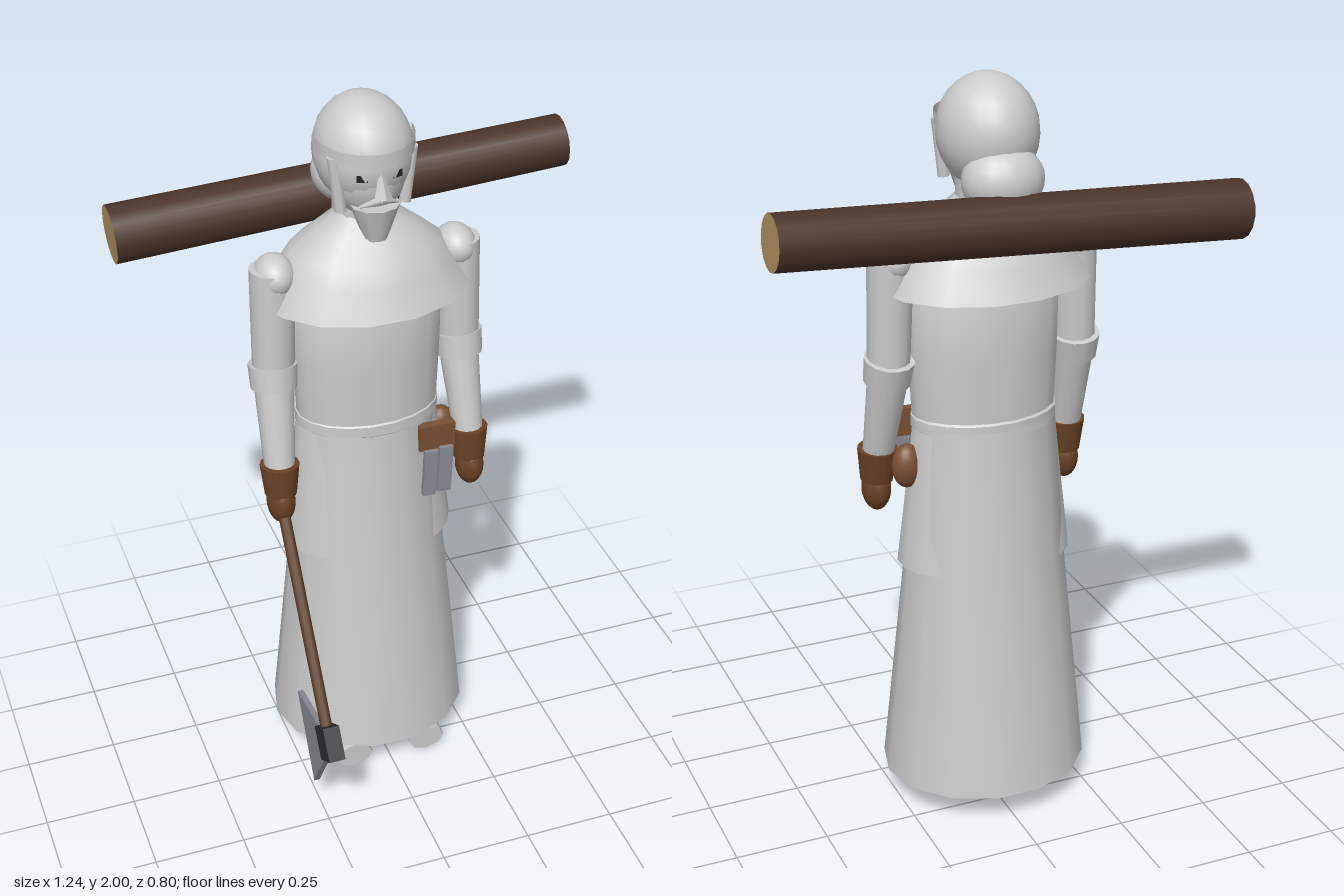
import * as THREE from 'three';
import { toCreasedNormals } from 'three/addons/utils/BufferGeometryUtils.js';

const mat = (name, color, side = THREE.FrontSide) => {
  const m = new THREE.MeshStandardMaterial({ color, side });
  m.name = name;
  return m;
};
const V = (x, y, z) => new THREE.Vector3(x, y, z);

export function createModel() {
  const cloth = mat('pale cloth', 0xcccccc, THREE.DoubleSide);
  const leather = mat('leather', 0x6b4226);
  const pouchBrown = mat('pouch brown', 0x7a4f33);
  const haftWood = mat('haft wood', 0x5e3d26);
  const bark = mat('bark', 0x4a342b);
  const cutWood = mat('cut wood', 0xb0915f);
  const iron = mat('dark iron', 0x2d2d33);
  const steel = mat('steel', 0x8a8a93);
  const eyeDark = mat('eye dark', 0x222222);

  const root = new THREE.Group();
  root.name = 'woodcutter';
  const add = (name, geo, material, parent = root) => {
    const m = new THREE.Mesh(geo, material);
    m.name = name;
    parent.add(m);
    return m;
  };
  const crease = (g) => toCreasedNormals(g, 0.7);

  // Elliptical garment: profile of [half width, y], bottom to top
  const garment = (name, profile, depth, z, sides = 14) => {
    const pts = profile.map(([r, y]) => new THREE.Vector2(r, y));
    const g = new THREE.LatheGeometry(pts, sides, Math.PI / sides);
    g.scale(1, 1, depth).translate(0, 0, z);
    return add(name, crease(g), cloth);
  };
  // Tapered cylinder from a to b
  const limb = (name, a, b, ra, rb, material, sides = 12, parent = root) => {
    const d = b.clone().sub(a);
    const g = new THREE.CylinderGeometry(rb, ra, d.length(), sides);
    const m = add(name, g, material, parent);
    m.position.copy(a).addScaledVector(d, 0.5);
    m.quaternion.setFromUnitVectors(V(0, 1, 0), d.normalize());
    return m;
  };
  const ball = (name, p, r, material, parent = root) => {
    const g = new THREE.SphereGeometry(1, 20, 14);
    g.scale(...r).translate(...p);
    return add(name, g, material, parent);
  };
  const box = (name, size, p, material, parent = root) => {
    const m = add(name, new THREE.BoxGeometry(...size), material, parent);
    m.position.set(...p);
    return m;
  };

  // Robe, coat and cape
  garment('skirt', [[0, 0.09], [0.28, 0.09], [0.215, 0.72], [0.185, 1.1]], 0.89, -0.14);
  garment('coat', [[0.238, 0.71], [0.215, 0.9], [0.193, 1.1]], 0.7, -0.135, 20);
  garment('torso', [[0.192, 1.08], [0.2, 1.28], [0.203, 1.5], [0.15, 1.6], [0, 1.62]], 0.67, -0.13, 20);
  garment('belt', [[0.19, 1.085], [0.197, 1.09], [0.197, 1.12], [0.19, 1.125]], 0.69, -0.132, 20);
  garment('cape', [[0.28, 1.47], [0.235, 1.545], [0.2, 1.6], [0.13, 1.655], [0.075, 1.7], [0.06, 1.74]], 0.755, -0.137);

  // Head and hood
  const head = new THREE.Group();
  head.name = 'head';
  root.add(head);
  ball('coif', [0, 1.855, -0.15], [0.127, 0.145, 0.143], cloth, head);
  ball('face', [0, 1.82, -0.12], [0.1, 0.13, 0.105], cloth, head);
  limb('neck', V(0, 1.62, -0.15), V(0, 1.76, -0.15), 0.08, 0.08, cloth, 14, head);
  ball('loweredHood', [0, 1.755, -0.245], [0.105, 0.09, 0.088], cloth, head);
  const band = new THREE.CylinderGeometry(0.127, 0.127, 0.035, 20, 1, true, -Math.PI / 2, Math.PI);
  band.scale(1, 1, 1.16).translate(0, 1.887, -0.145);
  add('browBand', band, cloth, head);
  // Four-sided nose, widest and furthest forward near its foot
  const nose = new THREE.ConeGeometry(0.024, 0.085, 4).toNonIndexed();
  nose.rotateX(-0.3).translate(0, 1.825, -0.008);
  nose.computeVertexNormals();
  add('nose', nose, cloth, head);
  for (const s of [-1, 1]) {
    const eye = box('eye', [0.028, 0.018, 0.008], [s * 0.045, 1.835, -0.024], eyeDark, head);
    eye.rotation.y = s * 0.35;
    limb('moustache', V(0, 1.773, -0.016), V(s * 0.05, 1.755, -0.03), 0.012, 0.004, cloth, 6, head);
    limb('coifEdge', V(s * 0.103, 1.88, -0.075), V(s * 0.085, 1.73, -0.075), 0.016, 0.016, cloth, 8, head);
  }
  limb('beard', V(0, 1.65, -0.055), V(0, 1.745, -0.06), 0.03, 0.065, cloth, 10, head);

  // Arms and gloves
  for (const s of [-1, 1]) {
    const arm = new THREE.Group();
    arm.name = s > 0 ? 'leftArm' : 'rightArm';
    root.add(arm);
    const elbow = V(s * 0.258, 1.25, -0.125);
    const wrist = V(s * 0.268, 0.99, -0.06);
    ball('shoulder', [s * 0.245, 1.55, -0.13], [0.053, 0.055, 0.066], cloth, arm);
    limb('upperArm', elbow, V(s * 0.25, 1.57, -0.13), 0.055, 0.06, cloth, 14, arm);
    limb('forearm', wrist, elbow, 0.04, 0.054, cloth, 14, arm);
    limb('elbowCuff', V(s * 0.26, 1.225, -0.118), V(s * 0.257, 1.29, -0.132), 0.061, 0.066, cloth, 14, arm);
    limb('gauntlet', V(s * 0.269, 0.93, -0.055), V(s * 0.268, 1.02, -0.062), 0.043, 0.053, leather, 14, arm);
    ball('hand', [s * 0.27, 0.905, -0.053], [0.038, 0.063, 0.048], leather, arm);
  }

  // Shoes and ankles
  for (const s of [-1, 1]) {
    limb('shoe', V(s * 0.11, 0.046, -0.195), V(s * 0.11, 0.042, 0.07), 0.05, 0.046, cloth, 8)
      .scale.set(1.15, 1, 0.85);
    limb('ankle', V(s * 0.118, 0.03, -0.13), V(s * 0.118, 0.15, -0.13), 0.062, 0.062, cloth, 12);
  }

  // Belt gear
  box('toolHolder', [0.1, 0.075, 0.025], [0.15, 1.055, 0], pouchBrown);
  for (const [x, w, y] of [[0.127, 0.036, 0.95], [0.17, 0.038, 0.955]]) {
    const tool = box('tool', [w, 0.14, 0.015], [x, y, 0.018], steel);
    tool.rotation.z = -0.04;
  }
  ball('sidePouch', [0.215, 0.99, -0.135], [0.04, 0.06, 0.036], pouchBrown);

  // Axe held in the right hand
  const axe = new THREE.Group();
  axe.name = 'axe';
  root.add(axe);
  limb('haft', V(-0.27, 0.92, -0.06), V(-0.27, 0.36, 0.335), 0.016, 0.016, haftWood, 10, axe);
  box('axeSocket', [0.045, 0.092, 0.09], [-0.27, 0.37, 0.335], iron, axe).rotation.x = -0.611;
  const bladeShape = new THREE.Shape(
    [[-0.325, 0.31], [-0.215, 0.127], [-0.08, 0.345], [-0.272, 0.375]].map((p) => new THREE.Vector2(...p)));
  const blade = new THREE.ExtrudeGeometry(bladeShape, { depth: 0.016, bevelEnabled: false });
  blade.rotateY(Math.PI / 2).translate(-0.28, 0, 0);
  add('blade', blade, steel, axe);

  // Log carried behind the shoulders
  limb('log', V(-0.616, 1.632, -0.325), V(0.616, 1.696, -0.322), 0.077, 0.07,
    [bark, cutWood, cutWood], 16);

  return root;
}
